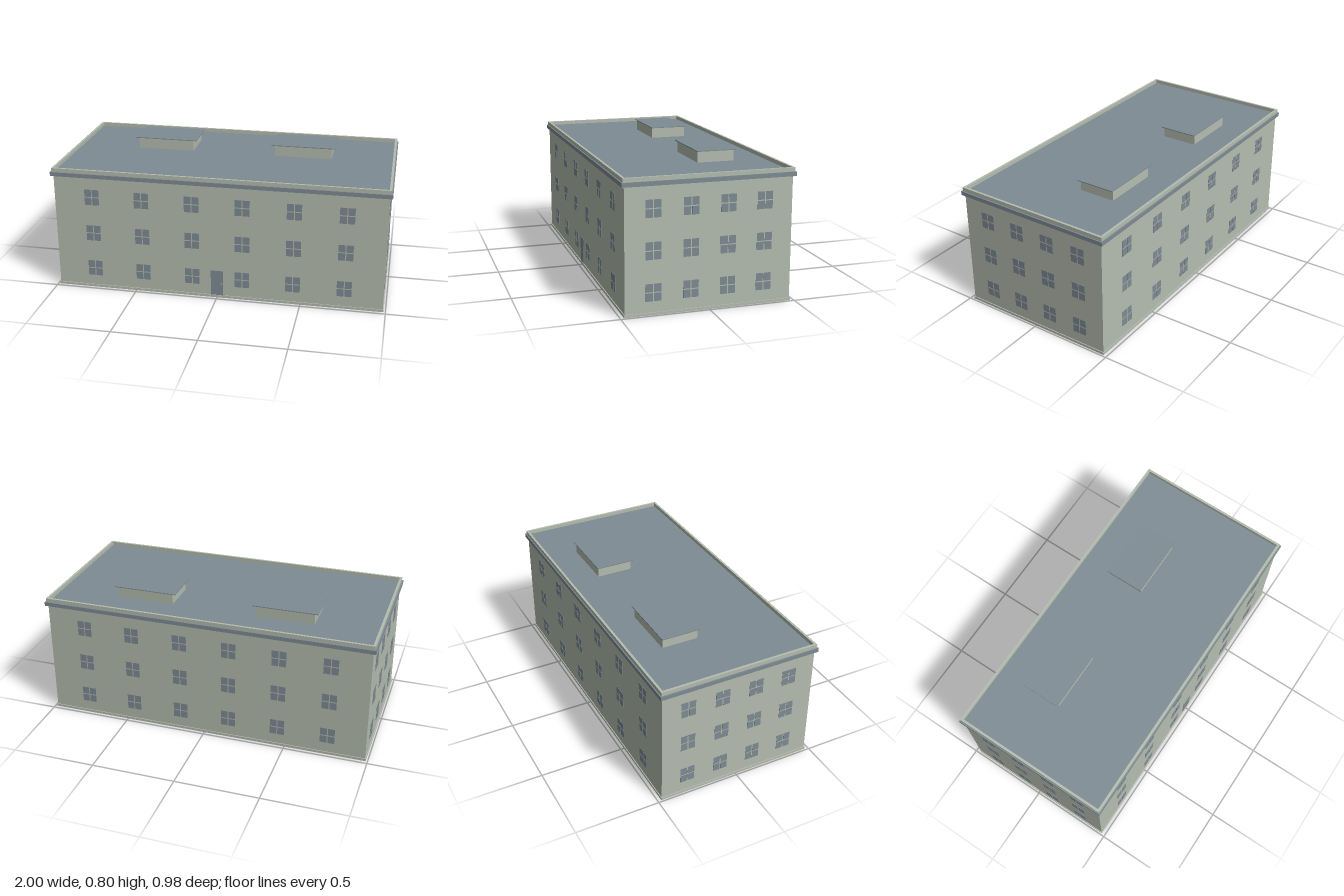
import * as THREE from 'three';

const wallMat = new THREE.MeshStandardMaterial({ name: 'paleSageWall', color: 0xb5bdb0 });
const slateMat = new THREE.MeshStandardMaterial({ name: 'slateBlue', color: 0x7f8c94 });

// Box centred on (x, z), spanning y0 to y1
function slab(name, mat, w, d, y0, y1, x = 0, z = 0) {
  const mesh = new THREE.Mesh(new THREE.BoxGeometry(w, y1 - y0, d), mat);
  mesh.name = name;
  mesh.position.set(x, (y0 + y1) / 2, z);
  return mesh;
}

// Four thin panes divided by a narrow cross of wall
function makeWindow(x, y) {
  const g = new THREE.Group();
  g.name = 'window';
  const pane = new THREE.BoxGeometry(0.0405, 0.0455, 0.003);
  for (const sx of [-1, 1]) for (const sy of [-1, 1]) {
    const m = new THREE.Mesh(pane, slateMat);
    m.name = 'windowPane';
    m.position.set(sx * 0.0233, sy * 0.0258, 0);
    g.add(m);
  }
  g.position.set(x, y, 0);
  return g;
}

// Grid of windows for one side of the building
function makeFacade(name, columns, distance, angle) {
  const g = new THREE.Group();
  g.name = name;
  for (const y of [0.126, 0.356, 0.585]) for (const x of columns) g.add(makeWindow(x, y));
  g.rotation.y = angle;
  g.position.set(Math.sin(angle) * distance, 0, Math.cos(angle) * distance);
  return g;
}

// Open rectangular rim around the flat roof
function makeParapet(w, d, t, y0, y1) {
  const rect = (Type, a, b) => new Type([
    new THREE.Vector2(-a, -b), new THREE.Vector2(a, -b),
    new THREE.Vector2(a, b), new THREE.Vector2(-a, b)]);
  const shape = rect(THREE.Shape, w / 2, d / 2);
  shape.holes.push(rect(THREE.Path, w / 2 - t, d / 2 - t));
  const geo = new THREE.ExtrudeGeometry(shape, { depth: y1 - y0, bevelEnabled: false });
  geo.rotateX(-Math.PI / 2);
  const mesh = new THREE.Mesh(geo, wallMat);
  mesh.name = 'parapet';
  mesh.position.y = y0;
  return mesh;
}

export function createModel() {
  const model = new THREE.Group();
  model.name = 'apartmentBuilding';

  // Main block, plinth and cornice
  model.add(slab('walls', wallMat, 1.968, 0.948, 0.004, 0.706));
  model.add(slab('plinth', wallMat, 1.978, 0.958, 0, 0.015));
  model.add(slab('neckMoulding', wallMat, 1.976, 0.956, 0.704, 0.71));
  model.add(slab('corniceAndRoof', slateMat, 2, 0.978, 0.709, 0.733));
  model.add(makeParapet(1.985, 0.964, 0.014, 0.733, 0.756));

  // Windows on all four sides
  const long = [-0.755, -0.453, -0.151, 0.151, 0.453, 0.755];
  const short = [-0.315, -0.105, 0.105, 0.315];
  model.add(makeFacade('frontWindows', long, 0.4745, 0));
  model.add(makeFacade('backWindows', long, 0.4745, Math.PI));
  model.add(makeFacade('leftWindows', short, 0.9845, Math.PI / 2));
  model.add(makeFacade('rightWindows', short, 0.9845, -Math.PI / 2));

  // Front door with a small handle
  model.add(slab('door', slateMat, 0.075, 0.004, 0.015, 0.174, 0, 0.4745));
  model.add(slab('doorHandle', wallMat, 0.008, 0.004, 0.086, 0.094, 0.027, 0.4765));

  // Rooftop housings with overhanging lids
  for (const x of [-0.433, 0.433]) {
    const g = new THREE.Group();
    g.name = 'roofHousing';
    g.add(slab('housingWalls', wallMat, 0.35, 0.22, 0.73, 0.798, x, -0.17));
    g.add(slab('housingLid', slateMat, 0.39, 0.237, 0.798, 0.803, x, -0.171));
    model.add(g);
  }
  return model;
}
